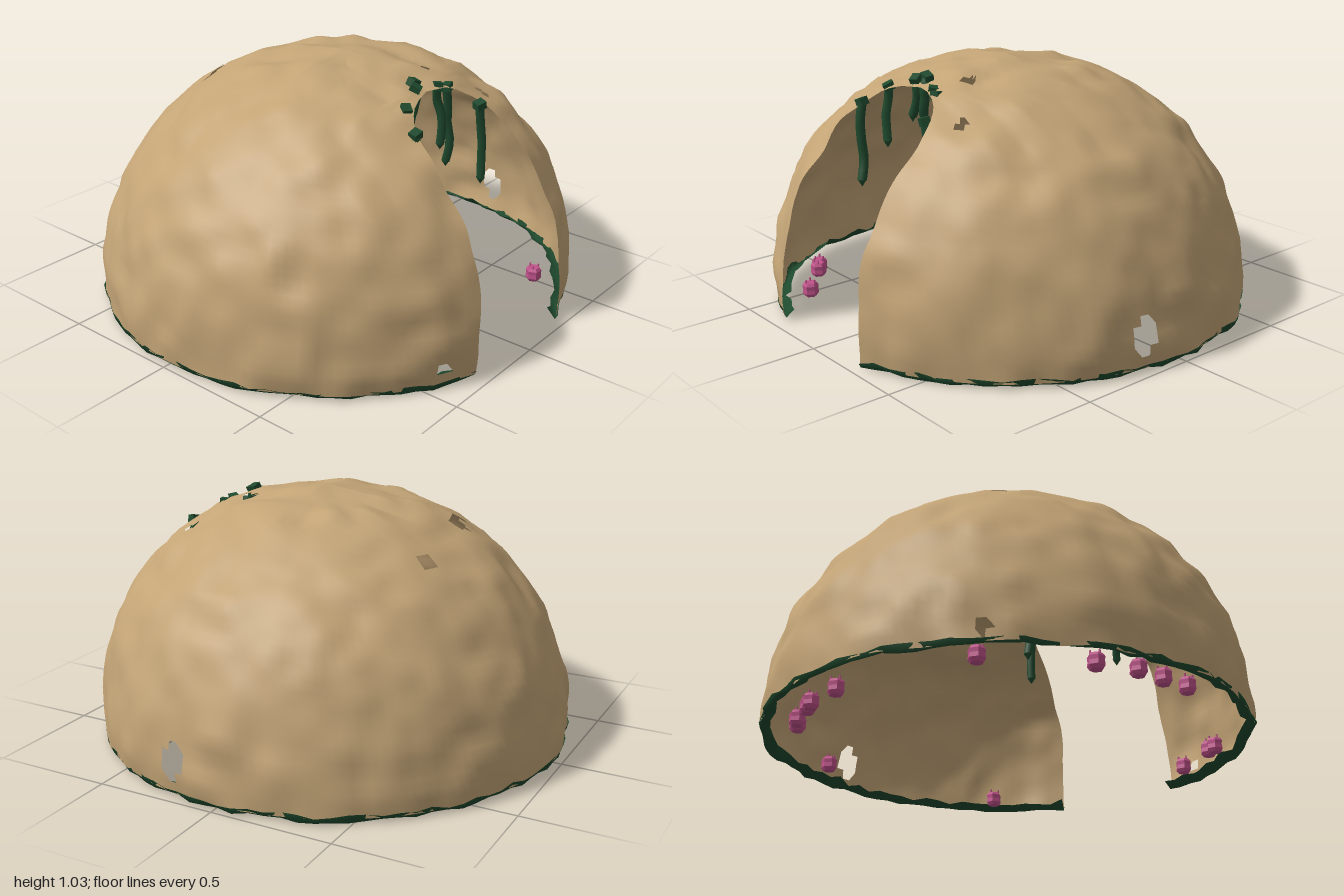
import * as THREE from 'three';
import { mergeVertices } from 'three/addons/utils/BufferGeometryUtils.js';

const mat = (name, color, side = THREE.FrontSide) => {
  const m = new THREE.MeshStandardMaterial({ color, side });
  m.name = name;
  return m;
};

// Seeded value noise in space, range -1..1
const hash = (x, y, z) => {
  const s = Math.sin(x * 127.1 + y * 311.7 + z * 74.7) * 43758.5453;
  return (s - Math.floor(s)) * 2 - 1;
};
function noise(x, y, z) {
  const X = Math.floor(x), Y = Math.floor(y), Z = Math.floor(z);
  const L = THREE.MathUtils.lerp, fx = x - X, fy = y - Y, fz = z - Z;
  const edge = (b, c) => L(hash(X, Y + b, Z + c), hash(X + 1, Y + b, Z + c), fx);
  return L(L(edge(0, 0), edge(1, 0), fy), L(edge(0, 1), edge(1, 1), fy), fz);
}

// Half width of the doorway at a height
function doorHalf(y) {
  if (y >= 0.95) return 0;
  const t = Math.max(0, (y - 0.55) / 0.4);
  return (0.285 - 0.025 * Math.min(1, y / 0.6)) * Math.sqrt(1 - t ** 6) * (1 + 0.02 * noise(3, y * 12, 5));
}

// Point on the dome: v runs top to bottom, u runs around from door edge to door edge.
// The profile is a little fuller than a circle, leans forward and tucks in at the foot.
function domePoint(u, v) {
  const th = v * Math.PI / 2, q = 2 / 2.2;
  const y = 0.025 + Math.cos(th) ** q;
  const r = 0.99 * Math.sin(th) ** q - 0.012 * Math.max(0, 1 - y / 0.1);
  const mid = -0.02 * Math.max(0, 1 - y / 0.8), half = doorHalf(y);
  const angle = x => r > 0 ? Math.asin(THREE.MathUtils.clamp(x / r, -1, 1)) : 0;
  const start = angle(mid + half), end = Math.PI * 2 + angle(mid - half);
  const phi = start + (end - start) * u;
  const p = new THREE.Vector3(r * Math.sin(phi), y, r * Math.cos(phi));
  const bump = 0.007 * noise(p.x * 7 + 40, p.y * 7 + 40, p.z * 7 + 40)
    + 0.017 * noise(p.x * 11 + 80, p.y * 11 + 80, p.z * 11 + 80);
  p.x *= 1 + bump;
  p.z = p.z * (1 + bump) + 0.012 + 0.048 * y;
  p.y += bump * Math.max(0.4, Math.cos(th));
  return p;
}

// Sheet of triangles from a point function, leaving out those the test rejects
function sheet(nu, nv, point, skip = () => false) {
  const pts = [], index = [];
  for (let i = 0; i <= nv; i++)
    for (let j = 0; j <= nu; j++) pts.push(point(j / nu, i / nv));
  const add = (a, b, c) => {
    const mid = pts[a].clone().add(pts[b]).add(pts[c]).divideScalar(3);
    if (!skip(mid)) index.push(a, b, c);
  };
  for (let i = 0; i < nv; i++)
    for (let j = 0; j < nu; j++) {
      const a = i * (nu + 1) + j, b = a + nu + 1;
      add(a, b + 1, a + 1);
      add(a, b, b + 1);
    }
  let g = new THREE.BufferGeometry().setFromPoints(pts);
  g.setIndex(index);
  g = mergeVertices(g, 1e-4);
  g.computeVertexNormals();
  return g;
}

// Chipped holes in the shell: centre and half sizes
const holes = [
  [-0.44, 0.09, 0.89, 0.025, 0.025, 0.1],
  [-0.44, 0.08, -0.87, 0.03, 0.03, 0.1],
  [0.97, 0.155, 0.19, 0.1, 0.075, 0.045],
  [-0.22, 0.93, -0.44, 0.075, 0.2, 0.02],
  [-0.14, 0.93, -0.47, 0.03, 0.2, 0.04],
  [0.26, 0.89, -0.51, 0.04, 0.2, 0.035],
  [0.15, 1, 0.35, 0.02, 0.2, 0.035],
  [0.32, 0.88, 0.52, 0.02, 0.2, 0.028],
];
const inHole = p => holes.some(([x, y, z, a, b, c]) =>
  ((p.x - x) / a) ** 2 + ((p.y - y) / b) ** 2 + ((p.z - z) / c) ** 2 < 1);

export function createModel() {
  const group = new THREE.Group();
  const clay = mat('tan clay', 0xc3a476, THREE.DoubleSide);
  const moss = mat('dark green moss', 0x1f4a2e, THREE.DoubleSide);
  const pink = mat('pink petals', 0xc0528a);
  const add = (name, geo, material, parent = group) => {
    const mesh = new THREE.Mesh(geo, material);
    mesh.name = name;
    parent.add(mesh);
    return mesh;
  };

  // Rough shell with the doorway left open
  add('domeShell', sheet(160, 44, domePoint, inHole), clay);

  // Ragged moss strip wrapped under the foot, its inner lip turned up
  add('mossRim', sheet(90, 2, (u, v) => {
    const p = domePoint(u, 1), j = Math.round(u * 90), row = Math.round(v * 2);
    const k = [1.004, 0.998, 0.96][row] + hash(j, row, 7) * [0.004, 0.004, 0.012][row];
    const y = [0.038, 0.016, 0.044][row] + hash(j, row, 19) * [0.009, 0.006, 0.016][row];
    return new THREE.Vector3(p.x * k, y, p.z * k);
  }), moss);

  // Vines hanging inside the door arch: top x, y, bottom x, y, depth
  const vines = new THREE.Group();
  vines.name = 'vines';
  group.add(vines);
  [
    [-0.23, 0.87, -0.22, 0.55, 0.6], [-0.17, 0.93, -0.16, 0.71, 0.51],
    [-0.05, 0.97, -0.08, 0.82, 0.45], [-0.02, 0.98, -0.05, 0.82, 0.43],
    [0.08, 0.95, 0.11, 0.7, 0.46], [0.12, 0.94, 0.16, 0.61, 0.47],
    [0.19, 0.87, 0.22, 0.55, 0.59],
  ].forEach(([x0, y0, x1, y1, z], k) => {
    const pts = [0, 0.25, 0.5, 0.75, 1].map((t, i) => new THREE.Vector3(
      x0 + (x1 - x0) * t + Math.sin(t * Math.PI) * 0.012 * (k < 2 ? -1 : 1),
      y0 + (y1 - y0) * t, z + 0.012 * hash(k, i, 3)));
    const vine = new THREE.TubeGeometry(new THREE.CatmullRomCurve3(pts), 10, 0.019, 6);
    add('vine', vine, moss, vines);
    // Knot at the top and a pointed end
    const knot = add('vineKnot', new THREE.BoxGeometry(0.042, 0.032, 0.036), moss, vines);
    knot.position.copy(pts[0]);
    knot.rotation.set(0.2, k, 0.3);
    const tip = add('vineTip', new THREE.ConeGeometry(0.019, 0.03, 6), moss, vines);
    tip.position.copy(pts[4]).y -= 0.012;
    tip.rotation.x = Math.PI;
  });

  // Boxy flower buds along the foot of the inner wall
  const bud = new THREE.LatheGeometry([
    [0, 0.006], [0.024, 0.008], [0.034, 0.022], [0.032, 0.04], [0.034, 0.056], [0.026, 0.068], [0, 0.066],
  ].map(([r, y]) => new THREE.Vector2(r, y)), 6).toNonIndexed();
  bud.computeVertexNormals();
  const stamen = new THREE.CylinderGeometry(0.004, 0.004, 0.018, 5);
  [
    [0.83, -0.1], [0.62, -0.55], [0.58, -0.6], [0.46, -0.68], [0.42, -0.71], [0.25, -0.77], [-0.35, -0.75],
    [-0.67, -0.48], [-0.77, -0.35], [-0.81, -0.23], [-0.85, -0.11],
    [-0.46, 0.73], [-0.64, 0.58], [-0.68, 0.55], [0.5, 0.71],
  ].forEach(([x, z], k) => {
    const flower = new THREE.Group();
    flower.name = 'flower';
    flower.position.set(x, 0, z);
    flower.rotation.y = k;
    group.add(flower);
    add('bud', bud, pink, flower);
    for (let i = 0; i < 3; i++) {
      const a = i * Math.PI * 2 / 3;
      add('stamen', stamen, pink, flower).position.set(0.02 * Math.cos(a), 0.072, 0.02 * Math.sin(a));
    }
  });
  return group;
}
